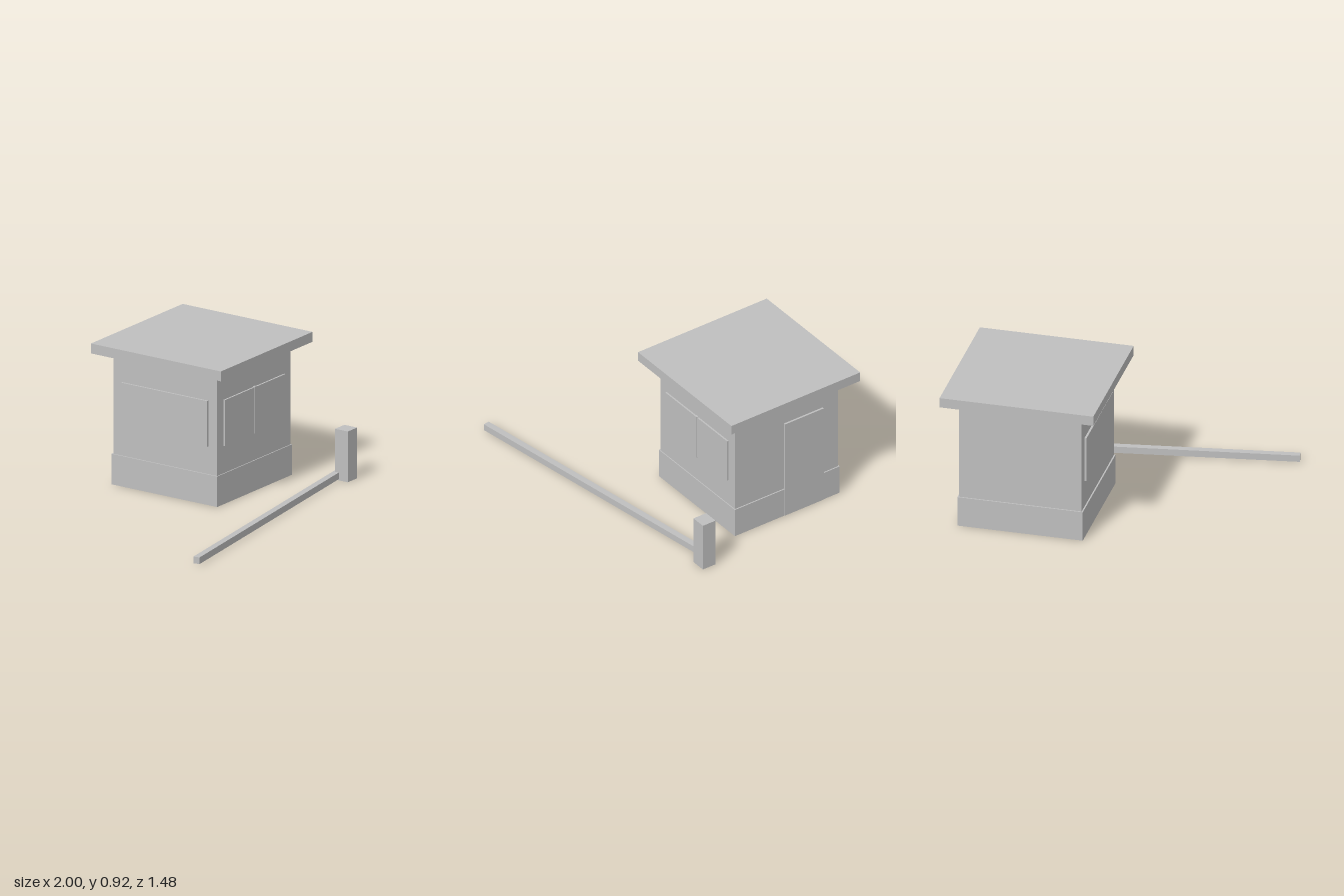
import * as THREE from 'three';

const grey = new THREE.MeshStandardMaterial({ color: 0xbfbfbf });
grey.name = 'plain grey';

// Box given by its lower and upper limits on each axis
function block(name, [x0, x1], [y0, y1], [z0, z1]) {
  const mesh = new THREE.Mesh(new THREE.BoxGeometry(x1 - x0, y1 - y0, z1 - z0), grey);
  mesh.name = name;
  mesh.position.set((x0 + x1) / 2, (y0 + y1) / 2, (z0 + z1) / 2);
  return mesh;
}

export function createModel() {
  const model = new THREE.Group();
  model.name = 'gatehouse';

  // Guard booth
  const booth = new THREE.Group();
  booth.name = 'booth';
  booth.add(
    block('plinth', [0.029, 0.827], [0, 0.197], [-0.648, 0.149]),
    block('walls', [0.038, 0.819], [0.19, 0.853], [-0.639, 0.143]),
    block('roof', [-0.062, 0.917], [0.853, 0.917], [-0.738, 0.241]),
    block('door', [0.81, 0.832], [0.002, 0.687], [-0.524, -0.229]),
    block('frontWindow', [0.104, 0.751], [0.376, 0.672], [0.135, 0.154]),
    block('windowBar', [0.418, 0.438], [0.374, 0.677], [0.135, 0.159]),
    block('sideWindow', [0.025, 0.046], [0.376, 0.672], [-0.572, 0.076]),
  );

  // Barrier: post and slightly opened arm
  const barrier = new THREE.Group();
  barrier.name = 'barrier';
  const arm = new THREE.Mesh(new THREE.BoxGeometry(1.951, 0.043, 0.042), grey);
  arm.name = 'barrierArm';
  arm.position.set(-0.032, 0.029, 0.5705);
  arm.rotation.y = 0.151;
  barrier.add(block('barrierPost', [0.901, 1], [0, 0.328], [0.422, 0.518]), arm);

  model.add(booth, barrier);
  return model;
}
